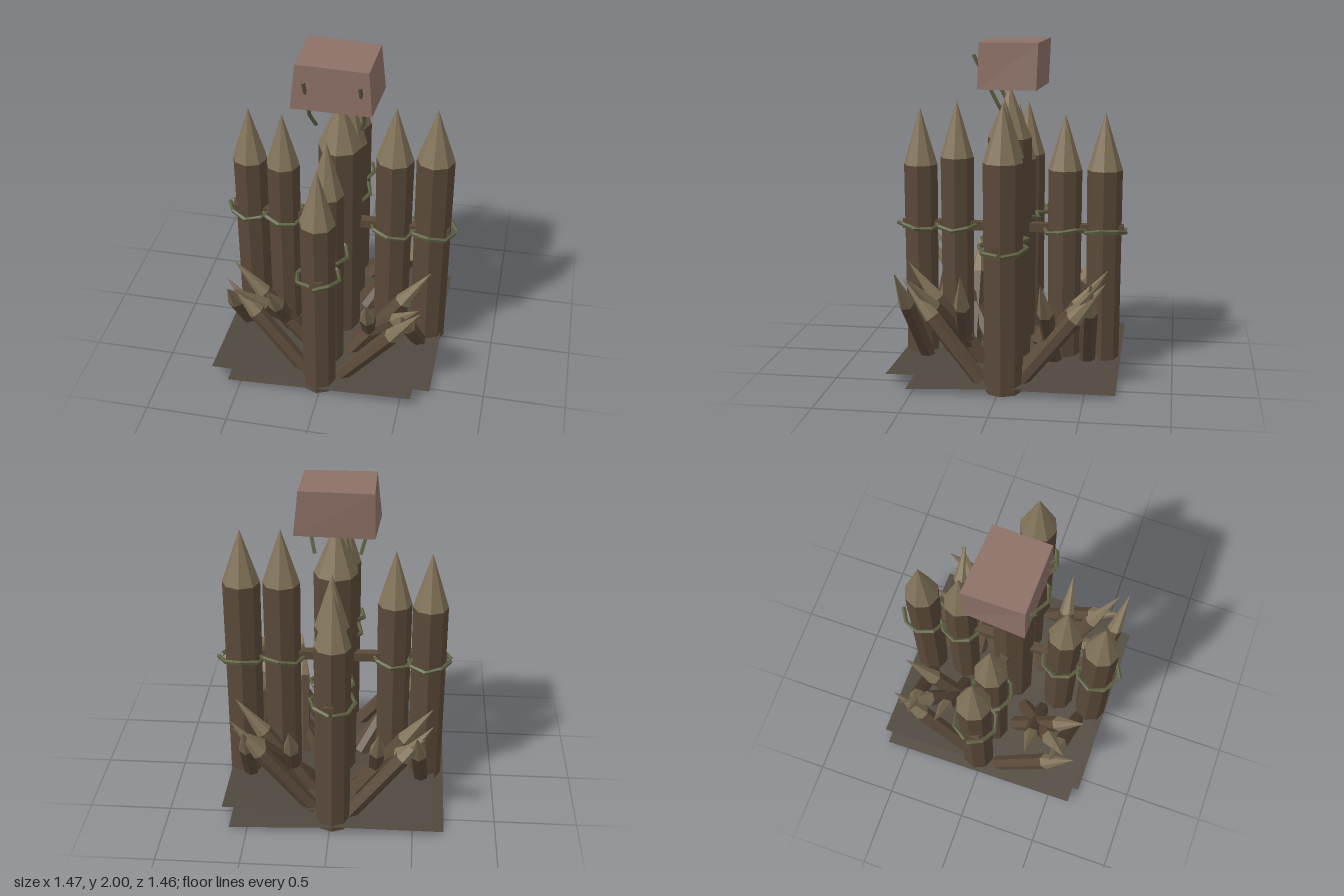
import * as THREE from 'three';

const mat = (color, side = THREE.FrontSide) =>
  new THREE.MeshStandardMaterial({ color, flatShading: true, side });

const V = (x, y, z) => new THREE.Vector3(x, y, z);

export function createModel() {
  const root = new THREE.Group();
  const wood = mat(0x5a4939);
  const cut = mat(0x83745a);
  const rope = mat(0x5c6040);
  const soil = mat(0x50483e, THREE.DoubleSide);
  const clay = mat(0x8c7066);

  const add = (name, geometry, material, parent = root) => {
    const m = new THREE.Mesh(geometry, material);
    m.name = name;
    parent.add(m);
    return m;
  };

  // A sharpened pole from base to tip; the cone starts `pointLength` before the tip
  function stake(name, base, tip, radius, pointLength, sides) {
    const g = new THREE.Group();
    g.name = name;
    const length = base.distanceTo(tip);
    const shaft = length - pointLength;
    const body = new THREE.CylinderGeometry(radius, radius * 0.95, shaft, sides);
    add(name + 'Shaft', body.translate(0, shaft / 2, 0), wood, g);
    const point = new THREE.ConeGeometry(radius, pointLength, sides, 1, true);
    add(name + 'Point', point.translate(0, shaft + pointLength / 2, 0), cut, g);
    g.position.copy(base);
    g.quaternion.setFromUnitVectors(V(0, 1, 0), tip.clone().sub(base).normalize());
    root.add(g);
  }

  // Polyline tube through evenly spaced points
  const tube = (name, points, radius, segments = points.length - 1) =>
    add(name, new THREE.TubeGeometry(
      new THREE.CatmullRomCurve3(points, false, 'catmullrom', 0), segments, radius, 5), rope);

  // Upright logs in a cross: x, z, radius, shoulder height, tip height
  const logs = [
    [0.005, 0.015, 0.135, 1.41, 1.73],
    [-0.57, -0.03, 0.108, 1.22, 1.57],
    [-0.355, 0, 0.104, 1.22, 1.57],
    [0.335, 0, 0.115, 1.34, 1.69],
    [0.575, -0.025, 0.116, 1.35, 1.69],
    [-0.015, -0.565, 0.108, 1.22, 1.57],
    [0.005, -0.325, 0.104, 1.22, 1.56],
    [-0.01, 0.345, 0.104, 1.28, 1.63],
    [-0.015, 0.575, 0.106, 1.23, 1.58],
  ];
  logs.forEach(([x, z, r, shoulder, top], i) => {
    stake('log', V(x, 0, z), V(x, top, z), r, top - shoulder, 8);
    if (i === 0) return;
    // Rope loop, open towards the outside
    const start = Math.atan2(z, x);
    const points = [];
    for (let k = 0; k <= 8; k++) {
      const a = start + 0.12 + (k / 8) * (Math.PI * 2 - 0.12);
      const rr = r + 0.026 + (k === 8 ? 0.015 : 0);
      points.push(V(x + rr * Math.cos(a), 0.85 + 0.015 * Math.sin(k * 1.7 + i), z + rr * Math.sin(a)));
    }
    tube('ropeLoop', points, 0.014);
  });

  // Cross bars tied behind the ropes
  add('crossBarX', new THREE.BoxGeometry(1.37, 0.055, 0.055), wood).position.set(0, 0.855, 0);
  add('crossBarZ', new THREE.BoxGeometry(0.055, 0.055, 1.37), wood).position.set(0, 0.855, 0);

  // Short leaning stakes: base x, z, then tip x, y, z
  const leaning = [
    // leaning sideways
    [-0.11, -0.53, -0.61, 0.66, -0.48],
    [-0.13, -0.29, -0.61, 0.67, -0.3],
    [0.11, -0.48, 0.6, 0.68, -0.53],
    [0.13, -0.28, 0.61, 0.66, -0.24],
    [-0.13, 0.27, -0.61, 0.66, 0.3],
    [-0.11, 0.52, -0.61, 0.65, 0.46],
    [0.13, 0.28, 0.61, 0.69, 0.22],
    [0.11, 0.52, 0.6, 0.69, 0.61],
    // leaning to the front and back
    [-0.55, -0.11, -0.51, 0.65, -0.61],
    [-0.25, -0.13, -0.29, 0.67, -0.61],
    [0.26, -0.13, 0.24, 0.66, -0.61],
    [0.54, -0.11, 0.51, 0.65, -0.61],
    [-0.59, 0.11, -0.565, 0.69, 0.61],
    [-0.29, 0.13, -0.325, 0.7, 0.6],
    [0.23, 0.13, 0.27, 0.68, 0.6],
    [0.54, 0.11, 0.48, 0.63, 0.59],
    // leaning to the corners
    [-0.15, -0.15, -0.56, 0.62, -0.57],
    [0.15, -0.15, 0.59, 0.65, -0.56],
    [-0.15, 0.15, -0.55, 0.64, 0.54],
    [0.15, 0.15, 0.58, 0.66, 0.55],
  ];
  for (const [bx, bz, tx, ty, tz] of leaning)
    stake('leaningStake', V(bx, 0.04, bz), V(tx, ty, tz), 0.05, 0.29, 6);

  // Four thin overlapping ground sheets, each tipped slightly: width, depth, shift, turn
  const sheets = [
    [1.15, 0.68, -0.005, 0],
    [1.09, 0.67, 0.005, Math.PI / 2],
    [1.24, 0.68, 0.01, Math.PI],
    [1.28, 0.69, 0, -Math.PI / 2],
  ];
  for (const [w, d, shift, turn] of sheets) {
    const g = new THREE.PlaneGeometry(w, d).rotateX(-Math.PI / 2);
    g.translate(shift, 0, d / 2).rotateZ(0.045).rotateY(turn);
    add('groundSheet', g, soil).position.y = 0.04;
  }

  // Block on top: a box whose corners are moved to a slightly skewed taper
  const block = new THREE.BoxGeometry(2, 2, 2);
  const p = block.attributes.position;
  const corners = {
    '-1,1,-1': [-0.23, 2, -0.208], '1,1,-1': [0.21, 1.995, -0.18],
    '1,1,1': [0.2, 1.995, 0.172], '-1,1,1': [-0.23, 2, 0.162],
    '-1,-1,-1': [-0.235, 1.72, -0.195], '1,-1,-1': [0.24, 1.72, -0.172],
    '1,-1,1': [0.22, 1.72, 0.18], '-1,-1,1': [-0.26, 1.72, 0.172],
  };
  for (let i = 0; i < p.count; i++)
    p.setXYZ(i, ...corners[[p.getX(i), p.getY(i), p.getZ(i)].join()]);
  add('topBlock', block, clay);

  // Bent cords running through the block
  for (const x of [-0.17, 0.155])
    tube('blockCord', [V(x, 1.92, 0.21), V(x, 1.62, 0.06), V(x * 0.84, 1.53, 0.01)], 0.012, 8);

  return root;
}
